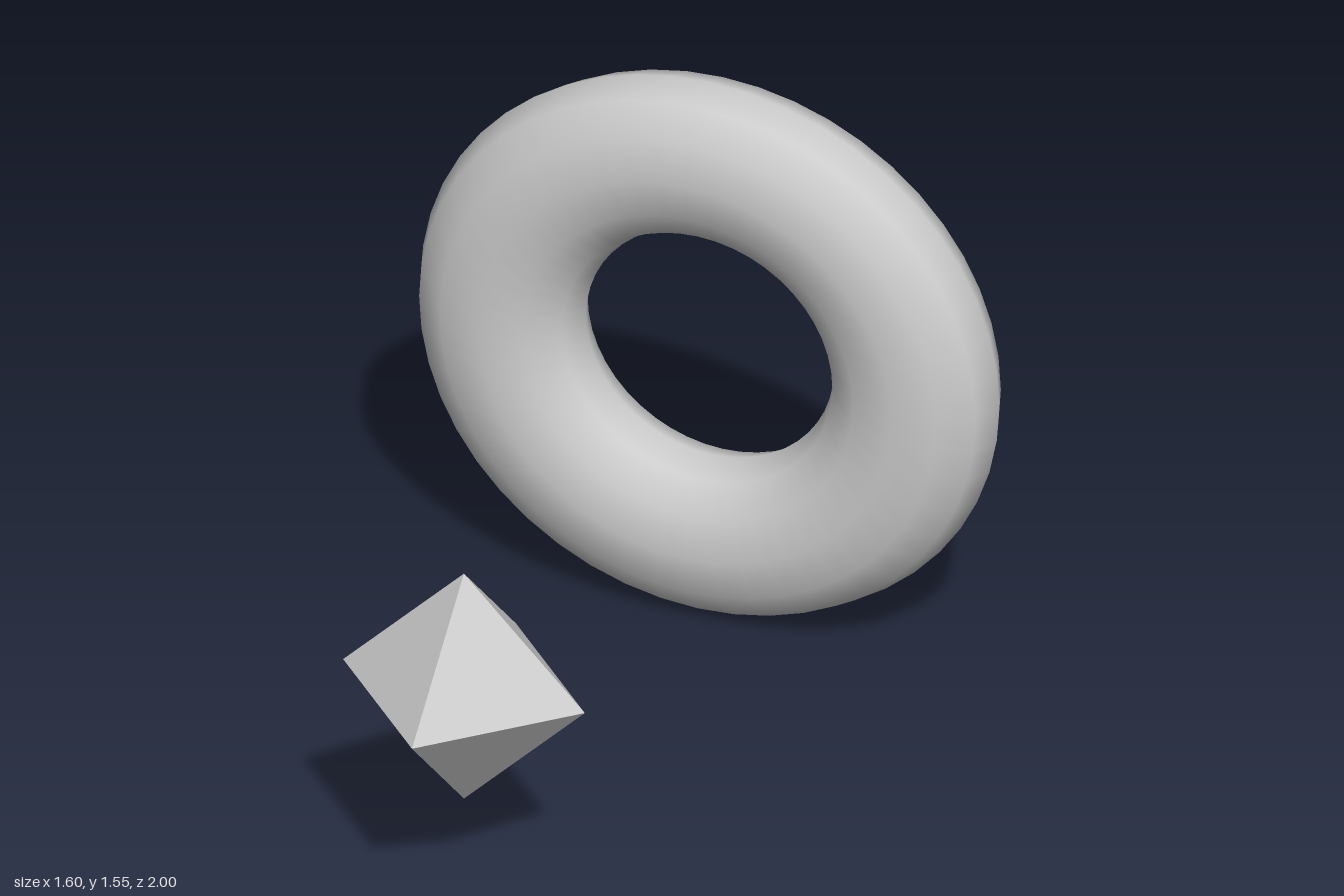
import * as THREE from 'three';

export function createModel() {
  const group = new THREE.Group();

  // Smooth upright ring at the back, slightly flattened in height and depth
  const ring = new THREE.Mesh(
    new THREE.TorusGeometry(1, 0.4, 12, 48),
    new THREE.MeshStandardMaterial({ color: 0xcccccc })
  );
  ring.name = 'ring';
  ring.scale.set(0.571, 0.552, 0.408);
  ring.position.set(0, 0.772, -0.837);
  group.add(ring);

  // Faceted eight-sided gem floating in front of the ring
  const gem = new THREE.Mesh(
    new THREE.OctahedronGeometry(0.334),
    new THREE.MeshStandardMaterial({ color: 0xcccccc, flatShading: true })
  );
  gem.name = 'gem';
  gem.position.set(-0.033, 0.582, 0.666);
  group.add(gem);

  return group;
}
